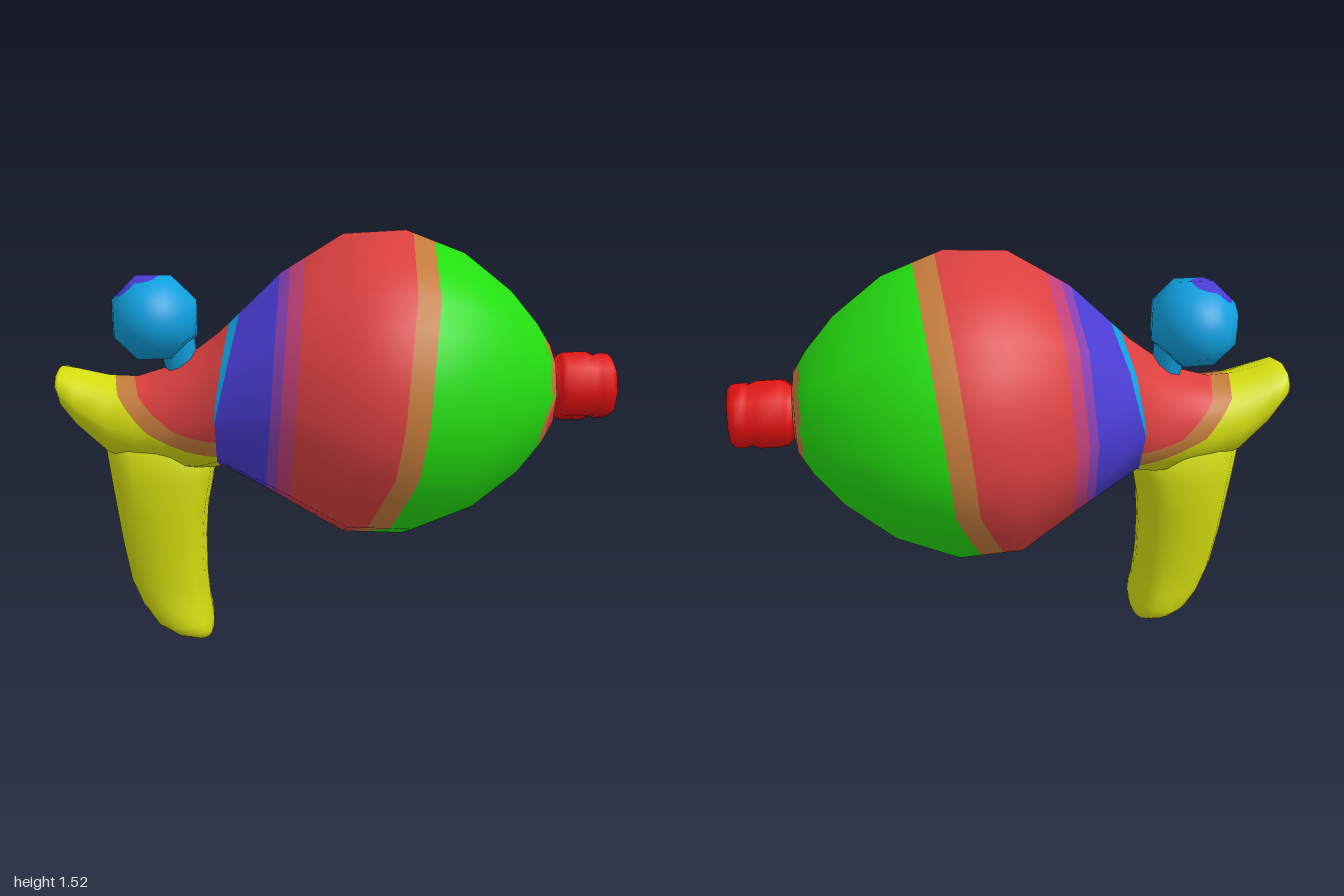
import * as THREE from 'three';

const mat = (name, color) => {
  const m = new THREE.MeshStandardMaterial({ color });
  m.name = name;
  return m;
};

// Skin through rings of points (arrays of [x, y, z]), closed at both ends
function loft(rings) {
  const n = rings[0].length, pos = rings.flat(2), idx = [];
  const centre = ring => [0, 1, 2].map(k => ring.reduce((s, p) => s + p[k], 0) / n);
  const last = (rings.length - 1) * n, c0 = rings.length * n;
  pos.push(...centre(rings[0]), ...centre(rings[rings.length - 1]));
  for (let j = 0; j < n; j++) {
    const k = (j + 1) % n;
    for (let a = 0; a < last; a += n) {
      idx.push(a + j, a + k, a + n + j, a + k, a + n + k, a + n + j);
    }
    idx.push(c0, k, j, c0 + 1, last + j, last + k);
  }
  const g = new THREE.BufferGeometry();
  g.setAttribute('position', new THREE.Float32BufferAttribute(pos, 3));
  g.setIndex(idx);
  g.computeVertexNormals();
  return g;
}

// Part of a convex polygon where side * field <= 0; corners are [position, normal]
function clip(poly, field, side) {
  const out = [];
  poly.forEach((a, i) => {
    const b = poly[(i + 1) % poly.length];
    const fa = side * field(a), fb = side * field(b);
    if (fa <= 0) out.push(a);
    if ((fa < 0 && fb > 0) || (fa > 0 && fb < 0)) {
      const t = fa / (fa - fb);
      out.push(a.map((v, k) => v + (b[k] - v) * t));
    }
  });
  return out;
}

// Colour tree: a leaf is a material, a split has a field and two branches
const split = (field, below, above) => ({ field, below, above });

function paint(name, geometry, tree) {
  const g = geometry.index ? geometry.toNonIndexed() : geometry;
  const P = g.attributes.position, N = g.attributes.normal, buckets = new Map();
  const assign = (poly, node) => {
    if (poly.length < 3) return;
    if (node.field) {
      assign(clip(poly, node.field, 1), node.below);
      assign(clip(poly, node.field, -1), node.above);
      return;
    }
    if (!buckets.has(node)) buckets.set(node, []);
    for (let i = 2; i < poly.length; i++) buckets.get(node).push(poly[0], poly[i - 1], poly[i]);
  };
  const refine = (a, b, c, depth) => {
    if (!depth) return assign([a, b, c], tree);
    const mid = (u, v) => u.map((w, k) => (w + v[k]) / 2);
    const ab = mid(a, b), bc = mid(b, c), ca = mid(c, a);
    [[a, ab, ca], [ab, b, bc], [ca, bc, c], [ab, bc, ca]].forEach(t => refine(...t, depth - 1));
  };
  const corner = i => [P.getX(i), P.getY(i), P.getZ(i), N.getX(i), N.getY(i), N.getZ(i)];
  for (let i = 0; i < P.count; i += 3) refine(corner(i), corner(i + 1), corner(i + 2), 2);

  const group = new THREE.Group();
  group.name = name;
  for (const [material, corners] of buckets) {
    const part = new THREE.BufferGeometry();
    part.setAttribute('position', new THREE.Float32BufferAttribute(corners.flatMap(c => c.slice(0, 3)), 3));
    part.setAttribute('normal', new THREE.Float32BufferAttribute(corners.flatMap(c => c.slice(3)), 3));
    const mesh = new THREE.Mesh(part, material);
    mesh.name = `${name} ${material.name}`;
    group.add(mesh);
  }
  return group;
}

export function createModel() {
  const model = new THREE.Group();
  model.name = 'toyBlaster';
  const green = mat('green', 0x24de10), coral = mat('coral', 0xdc4040), tan = mat('tan', 0xc47c3c);
  const blue = mat('blue', 0x4a3cd4), violet = mat('violet', 0x8a40b0), pink = mat('pink', 0xc24078);
  const yellow = mat('yellow', 0xd4dc10), cyan = mat('cyan', 0x109fde), red = mat('red', 0xe01010);
  const add = (name, geometry, material) => {
    const mesh = new THREE.Mesh(geometry, material);
    mesh.name = name;
    model.add(mesh);
    return mesh;
  };
  const AXIS = 0.96;

  // Eight-sided body, from the tail to the muzzle: x, top, bottom, half width
  const body = loft([
    [-1, 1.04, 0.95, 0.1], [-0.985, 1.05, 0.91, 0.13], [-0.93, 1.04, 0.83, 0.147],
    [-0.82, 1.015, 0.72, 0.172], [-0.72, 1.01, 0.68, 0.185], [-0.62, 1.04, 0.66, 0.2],
    [-0.5, 1.11, 0.65, 0.235], [-0.42, 1.17, 0.67, 0.27], [-0.2, 1.38, 0.54, 0.42],
    [0.02, 1.515, 0.405, 0.56], [0.24, 1.527, 0.395, 0.57], [0.45, 1.445, 0.48, 0.49],
    [0.62, 1.31, 0.61, 0.35], [0.72, 1.19, 0.73, 0.235], [0.77, 1.11, 0.81, 0.15], [0.785, 1.02, 0.9, 0.06],
  ].map(([x, top, bottom, w]) => Array.from({ length: 8 }, (_, i) => {
    const a = i * Math.PI / 4;
    return [x, (top + bottom) / 2 + Math.cos(a) * (top - bottom) / 2, Math.sin(a) * w];
  })));

  // Painted zones of the body
  const tailArc = r => ([x, y]) => Math.hypot(x + 0.42, y - 1.17) - r;
  const collar = (offset, slope, y0) => ([x, y]) => x + offset - slope * Math.max(0, y - y0);
  const hoop = x0 => ([x, y]) => x - x0 - 0.075 * (y - AXIS);
  const frontHoop = x0 => ([x, y]) => x - x0 - 0.12 * (y - AXIS) + 0.35 * Math.max(0, 0.75 - y);
  const muzzleSpot = (r, drop) => ([, y, z]) => {
    const d = Math.hypot(y - AXIS, z);
    return d - r - drop * Math.max(0, AXIS - y) / (d + 1e-6);
  };
  const muzzle = split(([, , z]) => z,
    split(muzzleSpot(0.175, 0), tan, green),
    split(muzzleSpot(0.145, 0.09), coral, split(muzzleSpot(0.185, 0.09), tan, green)));
  const front = split(frontHoop(0.2), coral, split(frontHoop(0.28), tan,
    split(([x]) => x - 0.5, green, muzzle)));
  const middle = split(hoop(-0.235), blue, split(hoop(-0.2), violet, split(hoop(-0.15), pink, front)));
  const tail = split(tailArc(0.35), coral, split(tailArc(0.41), tan, yellow));
  model.add(paint('body', body,
    split(collar(0.43, 0.17, 0.95), tail, split(collar(0.43, 0.24, 0.9), cyan, middle))));

  // Curved grip, from the top down: y, rear x, front x, half width
  const bend = v => Math.sign(v) * Math.abs(v) ** 0.8;
  add('grip', loft([
    [0.82, -0.85, -0.5, 0.12], [0.75, -0.845, -0.44, 0.165], [0.65, -0.832, -0.455, 0.175],
    [0.52, -0.815, -0.48, 0.172], [0.4, -0.8, -0.49, 0.163], [0.25, -0.775, -0.49, 0.153],
    [0.15, -0.735, -0.483, 0.158], [0.09, -0.69, -0.475, 0.167], [0.05, -0.63, -0.472, 0.15],
    [0.02, -0.56, -0.475, 0.105], [0.003, -0.51, -0.49, 0.04],
  ].map(([y, x0, x1, w]) => Array.from({ length: 16 }, (_, i) => {
    const a = i * Math.PI / 8;
    return [(x0 + x1) / 2 + bend(Math.cos(a)) * (x1 - x0) / 2, y, bend(Math.sin(a)) * w];
  }))), yellow);

  // Sight ball with a round spot, on a short stem
  const ball = new THREE.SphereGeometry(0.163, 8, 6);
  ball.rotateX(Math.PI / 2).rotateZ(Math.PI / 8).scale(1, 1, 1.23).translate(-0.65, 1.222, 0);
  model.add(paint('sightBall', ball,
    split(([x, y, z]) => Math.hypot(x + 0.72, y - 1.36, z) - 0.088, blue, cyan)));
  const stem = add('sightStem', new THREE.CylinderGeometry(0.07, 0.055, 0.15, 8), cyan);
  stem.position.set(-0.57, 1.1, 0);
  stem.rotation.z = 0.15;

  // Hollow nozzle turned around the long axis: radius, x
  const nozzle = new THREE.LatheGeometry([
    [0.1, 0.74], [0.1, 0.78], [0.12, 0.8], [0.127, 0.82], [0.127, 0.9], [0.115, 0.925], [0.122, 0.945],
    [0.12, 0.98], [0.1, 1], [0.07, 0.995], [0.058, 0.97], [0.055, 0.9], [0, 0.89],
  ].map(([r, x]) => new THREE.Vector2(r, x)), 8);
  nozzle.rotateZ(-Math.PI / 2).translate(0, AXIS, 0);
  add('nozzle', nozzle, red);

  return model;
}
